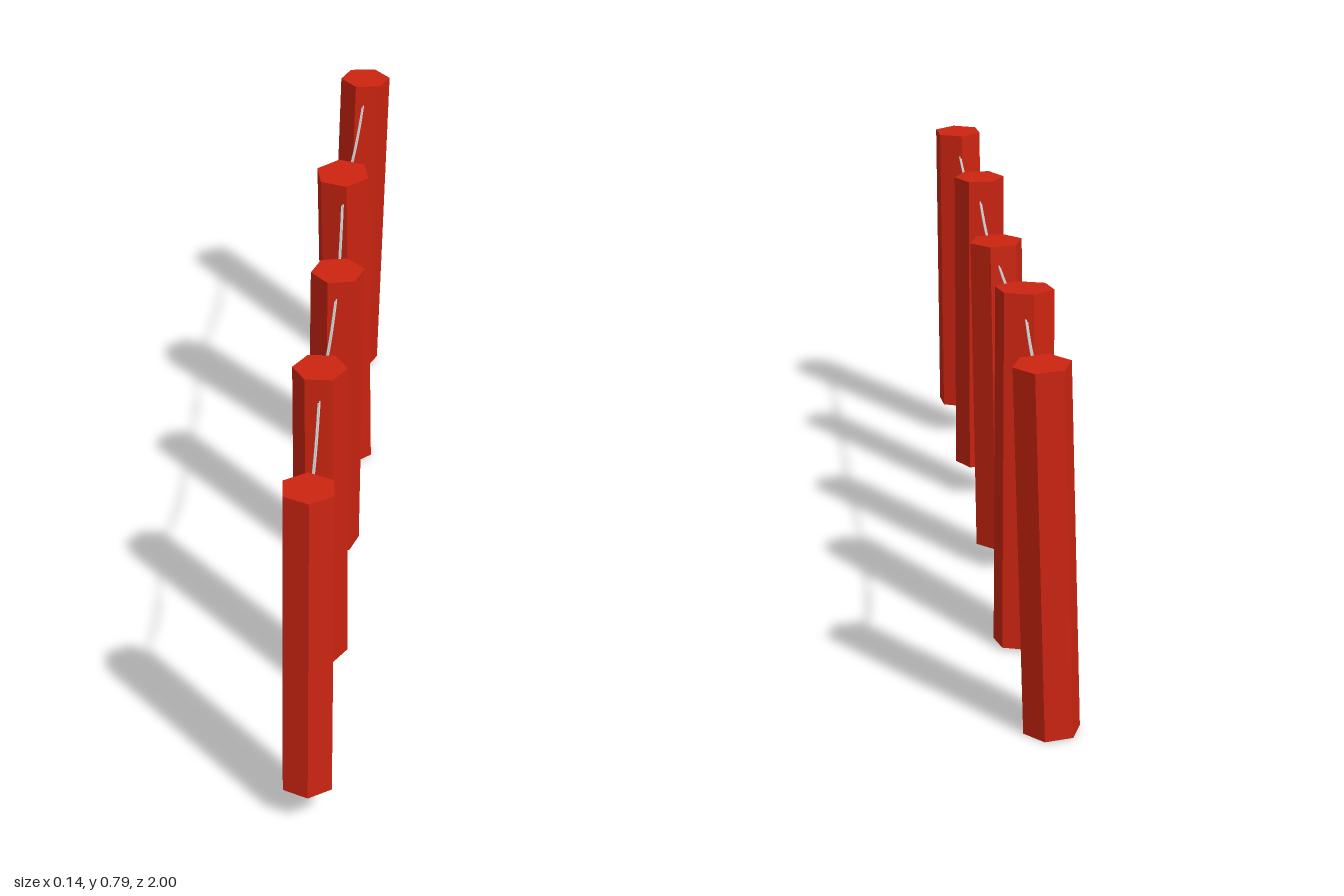
import * as THREE from 'three';

const V = (x, y, z) => new THREE.Vector3(x, y, z);
const UP = V(0, 1, 0);

// Each post: axis ends, radius and rotation of its hexagon (degrees)
const POSTS = [
  { bottom: V(-0.006, 0.08, 0.943), top: V(0, 0.795, 0.94), r: 0.058, turn: 5 },
  { bottom: V(-0.008, 0.08, 0.477), top: V(-0.008, 0.795, 0.479), r: 0.058, turn: 30 },
  { bottom: V(-0.011, 0.053, 0.002), top: V(0, 0.768, 0.012), r: 0.06, turn: -18 },
  { bottom: V(-0.007, 0.004, -0.467), top: V(-0.015, 0.787, -0.424), r: 0.064, turn: 11 },
  { bottom: V(-0.015, 0.003, -0.922), top: V(0.01, 0.788, -0.942), r: 0.06, turn: -20 },
];

export function createModel() {
  const model = new THREE.Group();
  model.name = 'postAndCableFence';
  const red = new THREE.MeshStandardMaterial({ color: 0xcc2410, flatShading: true, side: THREE.DoubleSide });
  const grey = new THREE.MeshStandardMaterial({ color: 0xcccccc });

  const add = (parent, name, geometry, material) => {
    const mesh = new THREE.Mesh(geometry, material);
    mesh.name = name;
    parent.add(mesh);
    return mesh;
  };

  // Leaning hexagonal posts: closed on top, hollow below, thin rod inside
  POSTS.forEach(({ bottom, top, r, turn }) => {
    const axis = top.clone().sub(bottom);
    const length = axis.length();
    const post = new THREE.Group();
    post.name = 'post';
    post.position.copy(bottom);
    post.quaternion.setFromUnitVectors(UP, axis.normalize());
    const profile = [[r, 0], [r, length], [0, length]].map(([x, y]) => new THREE.Vector2(x, y));
    add(post, 'postShell', new THREE.LatheGeometry(profile, 6, THREE.MathUtils.degToRad(turn)), red);
    const rod = add(post, 'innerRod', new THREE.CylinderGeometry(0.004, 0.004, length - 0.03, 6), grey);
    rod.position.y = length / 2;
    model.add(post);
  });

  // Sagging cables: two fine strands in each gap, meeting the post axes
  const anchor = ({ bottom, top }) => bottom.clone().lerp(top, 0.945);
  for (let i = 0; i < POSTS.length - 1; i++) {
    const a = anchor(POSTS[i]);
    const b = anchor(POSTS[i + 1]);
    for (const [lift, side] of [[0.008, 0.0015], [0, -0.0015]]) {
      const points = [];
      for (let k = 0; k <= 8; k++) {
        const t = k / 8;
        const p = a.clone().lerp(b, t);
        const sag = 4 * t * (1 - t);
        const low = 0.71 - (a.y + b.y) / 2;
        p.y += low * sag + lift * (1 - sag);
        p.x += side;
        points.push(p);
      }
      add(model, 'cable', new THREE.TubeGeometry(new THREE.CatmullRomCurve3(points), 16, 0.002, 5), grey);
    }
  }
  return model;
}
